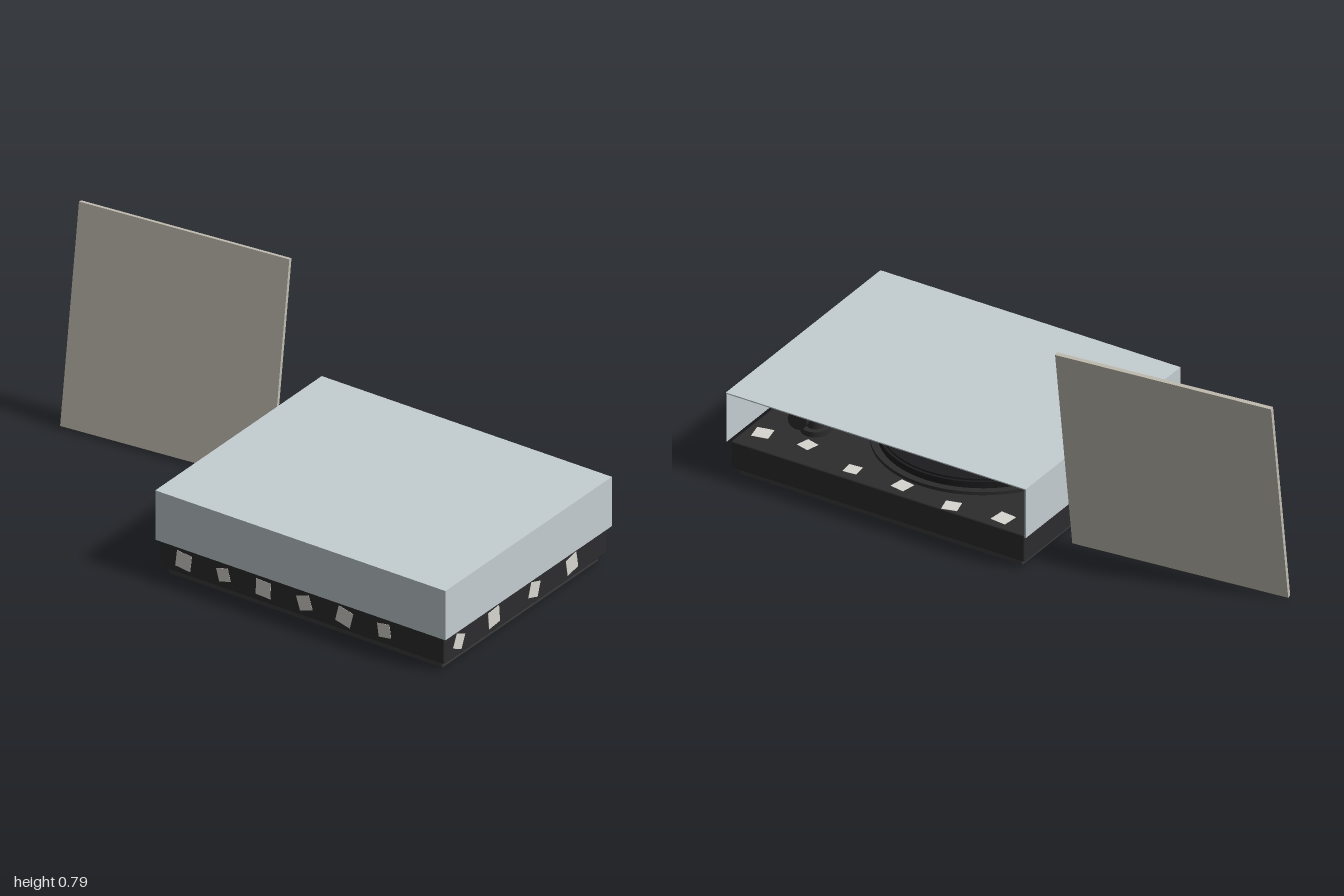
import * as THREE from 'three';
import { RoundedBoxGeometry } from 'three/addons/geometries/RoundedBoxGeometry.js';

export function createModel() {
  const model = new THREE.Group();
  const mat = (color) => new THREE.MeshStandardMaterial({ color });
  const dark = mat(0x2c2c2e), darker = mat(0x1c1c1e), foot = mat(0x3a3a3c);
  const paper = mat(0xd8d6d0), glass = mat(0xc4ced2), card = mat(0xc0bcb0), metal = mat(0xcccccc);
  glass.side = THREE.DoubleSide;

  const add = (name, geometry, material, x, y, z, parent = model) => {
    const mesh = new THREE.Mesh(geometry, material);
    mesh.name = name;
    mesh.position.set(x, y, z);
    parent.add(mesh);
    return mesh;
  };
  const cyl = (r, h, n = 48) => new THREE.CylinderGeometry(r, r, h, n);
  const cx = 0.415;

  // Plinth in two tiers
  add('plinth', new RoundedBoxGeometry(1.14, 0.1, 0.92, 2, 0.005), dark, cx, 0.08, 0);
  add('plinthFoot', new RoundedBoxGeometry(1.1, 0.035, 0.88, 2, 0.005), foot, cx, 0.0175, 0);

  // Dust cover: thin panels, open at the bottom and back
  const cover = new THREE.Group();
  cover.name = 'dustCover';
  model.add(cover);
  const t = 0.004, x0 = -0.167, x1 = 0.998, zh = 0.47, y0 = 0.13, y1 = 0.315;
  const midX = (x0 + x1) / 2, midY = (y0 + y1) / 2;
  add('coverTop', new THREE.BoxGeometry(x1 - x0, t, zh * 2), glass, midX, y1 - t / 2, 0, cover);
  add('coverFront', new THREE.BoxGeometry(x1 - x0, y1 - y0, t), glass, midX, midY, zh - t / 2, cover);
  for (const x of [x0 + t / 2, x1 - t / 2])
    add('coverSide', new THREE.BoxGeometry(t, y1 - y0, zh * 2), glass, x, midY, 0, cover);

  // Platter, record and spindle
  add('platterRim', cyl(0.37, 0.012, 64), dark, 0.3, 0.136, 0);
  add('platter', cyl(0.345, 0.03, 64), darker, 0.3, 0.15, 0);
  add('record', cyl(0.335, 0.006, 64), darker, 0.3, 0.168, 0);
  add('recordLabel', cyl(0.11, 0.002), card, 0.3, 0.172, 0);
  add('spindle', cyl(0.007, 0.03, 16), metal, 0.3, 0.18, 0);

  // Tonearm on its post, with a counterweight behind
  const px = 0.79, pz = -0.25, armY = 0.212;
  add('tonearmBase', cyl(0.05, 0.02), dark, px, 0.14, pz);
  add('tonearmPost', cyl(0.03, 0.08, 24), dark, px, 0.175, pz);
  const path = new THREE.CatmullRomCurve3([
    new THREE.Vector3(px + 0.015, armY, pz - 0.09), new THREE.Vector3(px, armY, pz),
    new THREE.Vector3(0.755, armY, 0.05), new THREE.Vector3(0.7, 0.2, 0.15),
    new THREE.Vector3(0.6, 0.19, 0.21)]);
  add('tonearm', new THREE.TubeGeometry(path, 32, 0.008, 10), dark, 0, 0, 0);
  add('headshell', new THREE.BoxGeometry(0.08, 0.014, 0.035), dark, 0.585, 0.185, 0.22).rotation.y = 0.5;
  const weight = add('counterweight', cyl(0.034, 0.06, 24), dark, px + 0.012, armY, pz - 0.07);
  weight.rotation.set(Math.PI / 2, 0, -0.15);

  // Square paper stickers: [position along edge, size, turn in degrees]
  const sticker = (size, x, y, z, rx, ry, turn) => {
    const s = add('sticker', new THREE.BoxGeometry(size, size, 0.002), paper, x, y, z);
    s.rotation.set(rx, ry, THREE.MathUtils.degToRad(turn));
  };
  for (const [x, s, a] of [[-0.06, 0.06, -7], [0.1, 0.048, 15], [0.26, 0.059, -3],
    [0.425, 0.053, 18], [0.585, 0.06, -14], [0.745, 0.05, 8]])
    sticker(s, x, 0.08, 0.46, 0, 0, a);
  for (const [z, s, a] of [[0.375, 0.052, -25], [0.178, 0.062, 5], [-0.05, 0.055, -18], [-0.262, 0.06, 10]])
    sticker(s, 0.985, 0.08, z, 0, Math.PI / 2, a);
  for (const [x, z, s, a] of [[0.925, -0.36, 0.06, 12], [0.76, -0.345, 0.05, -15], [0.55, -0.4, 0.05, 5],
    [0.357, -0.4, 0.055, -10], [0.15, -0.425, 0.055, 15], [-0.035, -0.4, 0.06, -6],
    [-0.04, 0.4, 0.055, 12], [0.6, 0.4, 0.05, -8], [0.9, 0.38, 0.06, 15]])
    sticker(s, x, 0.13, z, -Math.PI / 2, 0, a);

  // Record sleeve leaning back beside the plinth
  const sleeve = add('recordSleeve', new THREE.BoxGeometry(0.79, 0.79, 0.015), card, -0.6, 0.4, -0.255);
  sleeve.rotation.set(-0.16, 0.105, 0, 'YXZ');

  return model;
}
